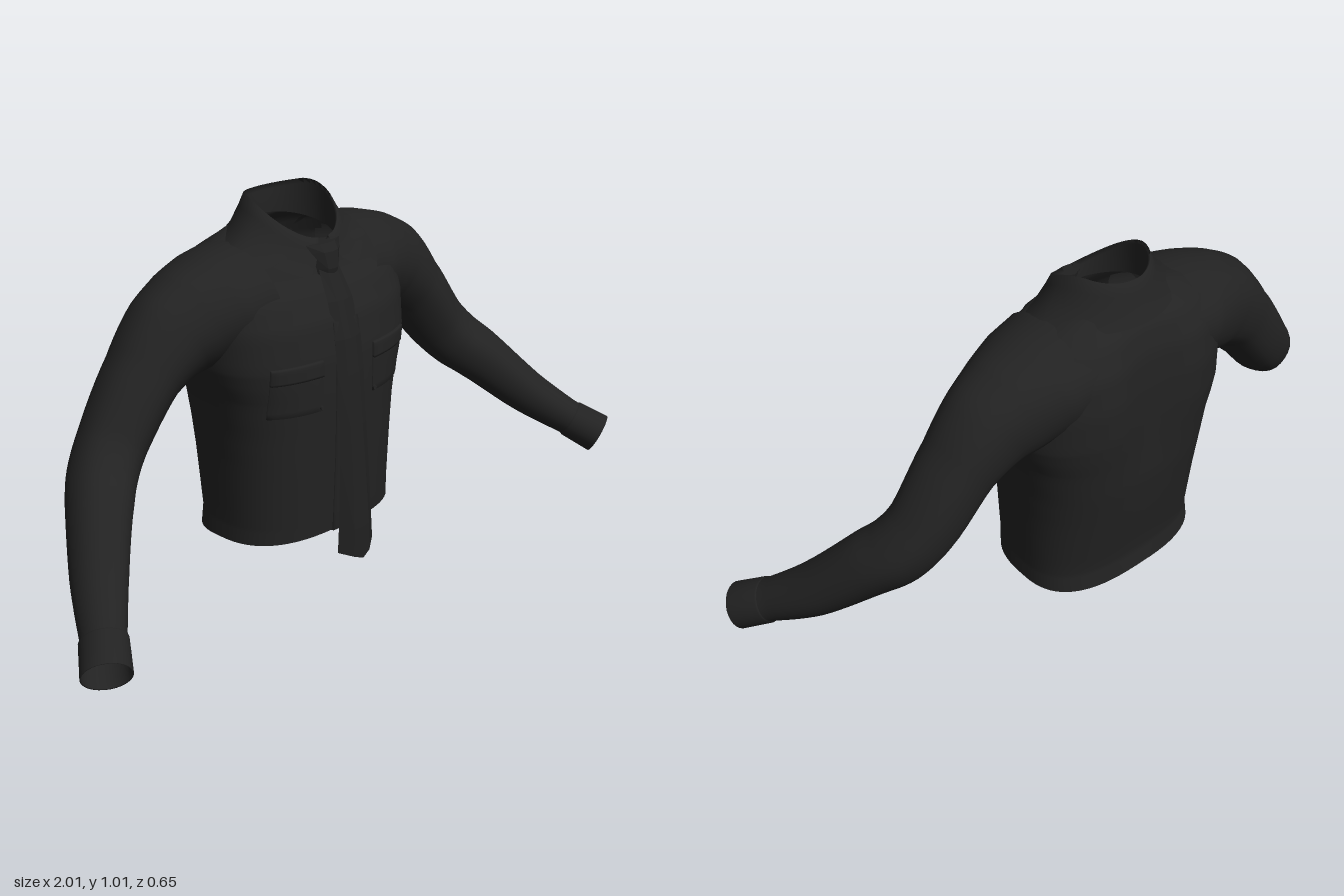
import * as THREE from 'three';

const mat = (name, color) => new THREE.MeshStandardMaterial({ name, color, side: THREE.DoubleSide });
const V = (x, y, z) => new THREE.Vector3(x, y, z);
const lerp = THREE.MathUtils.lerp;

// Interpolates a table whose first column is the key
function sample(table, t) {
  let i = 0;
  while (i < table.length - 2 && t > table[i + 1][0]) i++;
  const a = table[i], b = table[i + 1];
  const f = THREE.MathUtils.clamp((t - a[0]) / (b[0] - a[0]), 0, 1);
  return a.map((v, k) => lerp(v, b[k], f));
}

// Skins rows of points, leaving out quads whose corners are all hidden
function loft(name, rows, material, closed = true, hidden = () => false) {
  const n = rows[0].length, points = rows.flat(), index = [];
  const out = points.map(p => hidden(p));
  for (let i = 0; i < rows.length - 1; i++) {
    for (let j = 0; j < (closed ? n : n - 1); j++) {
      const a = i * n + j, b = i * n + (j + 1) % n;
      if (out[a] && out[b] && out[a + n] && out[b + n]) continue;
      index.push(a, b, a + n, b, b + n, a + n);
    }
  }
  const g = new THREE.BufferGeometry().setFromPoints(points);
  g.setIndex(index);
  g.computeVertexNormals();
  const mesh = new THREE.Mesh(g, material);
  mesh.name = name;
  return mesh;
}

// Torso levels: y, half width, front z, back z, forward tilt, spine groove
const TORSO = [
  [0.065, 0.283, 0.112, -0.28, 0.06, 0],
  [0.12, 0.279, 0.115, -0.272, 0.02, 0],
  [0.3, 0.284, 0.122, -0.302, 0, 0.006],
  [0.4, 0.291, 0.124, -0.318, 0, 0.014],
  [0.5, 0.306, 0.126, -0.328, 0, 0.026],
  [0.55, 0.322, 0.126, -0.333, 0, 0.032],
  [0.6, 0.334, 0.125, -0.337, 0, 0.037],
  [0.7, 0.335, 0.11, -0.337, 0, 0.04],
  [0.78, 0.33, 0.077, -0.322, -0.06, 0.035],
  [0.84, 0.295, 0.04, -0.288, -0.12, 0.022],
  [0.88, 0.235, 0.025, -0.24, -0.15, 0.008],
  [0.9, 0.18, 0.02, -0.225, -0.18, 0],
  [0.905, 0.13, 0.015, -0.22, -0.2, 0],
];
const MID = -0.1, POWER = 2.7;

function torsoRing(y, sides = 72) {
  const [, w, f, b, tilt, groove] = sample(TORSO, y);
  return Array.from({ length: sides }, (_, i) => {
    const a = i / sides * Math.PI * 2, s = Math.sin(a), c = Math.cos(a);
    const x = w * Math.sign(s) * Math.abs(s) ** (2 / POWER);
    const depth = Math.abs(c) ** (2 / POWER);
    let z = MID + (c > 0 ? f - MID : b - MID) * depth;
    if (c < 0) z += groove * Math.exp(-((x / 0.09) ** 2));
    return V(x, y + tilt * (z - MID), z);
  });
}

function insideTorso(p) {
  const y = p.y - sample(TORSO, p.y)[4] * (p.z - MID);
  const [, w, f, b] = sample(TORSO, y);
  const dz = (p.z - MID) / ((p.z > MID ? f : b) - MID);
  return y < 0.87 && Math.abs(p.x / w) ** POWER + dz ** POWER < 0.85;
}

// Raised cloth patch following the chest
function patch(name, x0, x1, y0, y1, lift, material) {
  const grid = [0, 0.001, ...Array.from({ length: 7 }, (_, i) => (i + 1) / 8), 0.999, 1];
  const rows = grid.map(v => grid.map(u => {
    const x = lerp(x0, x1, u), y = lerp(y0, y1, v);
    const [, w, f] = sample(TORSO, y);
    const z = MID + (f - MID) * (1 - (Math.abs(x) / w) ** POWER) ** (1 / POWER);
    const edge = u === 0 || u === 1 || v === 0 || v === 1;
    return V(x, y, z + (edge ? -0.003 : lift));
  }));
  return loft(name, rows, material, false);
}

// Sleeve stations: x, y, z, radius up, radius deep; the root blends into the shoulder
const SLEEVE = [
  [0.17, 0.768, -0.125, 0.137, 0.18],
  [0.26, 0.748, -0.128, 0.143, 0.168],
  [0.34, 0.722, -0.13, 0.143, 0.143],
  [0.41, 0.69, -0.13, 0.132, 0.122],
  [0.5, 0.612, -0.126, 0.102, 0.106],
  [0.615, 0.463, -0.112, 0.091, 0.095],
  [0.67, 0.4, -0.083, 0.088, 0.094],
  [0.72, 0.35, -0.033, 0.083, 0.089],
  [0.82, 0.23, 0.09, 0.067, 0.076],
  [0.895, 0.155, 0.2, 0.054, 0.06],
  [0.95, 0.106, 0.283, 0.058, 0.062],
];
const RADII = SLEEVE.map((s, i) => [i / (SLEEVE.length - 1), s[3], s[4]]);
const CURVE = new THREE.CatmullRomCurve3(SLEEVE.map(s => V(s[0], s[1], s[2])));

function sleeveFrame(t) {
  const c = CURVE.getPoint(t), T = CURVE.getTangent(t);
  const D = V(0, 0, 1).addScaledVector(T, -T.z).normalize();
  const [, ru, rd] = sample(RADII, t);
  return { c, T, D, U: D.clone().cross(T).normalize(), ru, rd };
}
const ROOT = Array.from({ length: 41 }, (_, i) => sleeveFrame(i / 100));

function insideSleeve(p) {
  return ROOT.some(({ c, T, D, U, ru, rd }) => {
    const q = V(Math.abs(p.x), p.y, p.z).sub(c);
    return Math.abs(q.dot(T)) < 0.01 && (q.dot(U) / ru) ** 2 + (q.dot(D) / rd) ** 2 < 0.8;
  });
}

function sleeveRing(t, side, grow = 0, sides = 28) {
  const { c, D, U, ru, rd } = sleeveFrame(t);
  return Array.from({ length: sides }, (_, i) => {
    const a = i / sides * Math.PI * 2;
    const fold = 1 + 0.02 * Math.sin(a * 5) * Math.sin(t * Math.PI);
    const p = c.clone().addScaledVector(U, (ru * fold + grow) * Math.cos(a))
      .addScaledVector(D, (rd * fold + grow) * Math.sin(a));
    p.x *= side;
    return p;
  });
}

// Folded collar: stand, fold line and outer leaf, open at the front
function collar(material) {
  const foldY = k => 1.007 - 0.1 * Math.max(0, (k - 0.33) / 0.67) ** 1.5 - 0.015 * Math.max(0, 1 - k * 4);
  const leafY = k => 0.9 - 0.09 * Math.max(0, k * 2 - 1) ** 1.5 - 0.015 * Math.max(0, 1 - k * 2);
  const rings = [
    { gap: 0.12, rx: 0.126, rf: 0.118, rb: 0.12, y: k => 0.915 - 0.055 * k },
    { gap: 0.13, rx: 0.121, rf: 0.12, rb: 0.12, y: k => foldY(k) - 0.012 },
    { gap: 0.14, rx: 0.123, rf: 0.128, rb: 0.13, y: foldY },
    { gap: 0.2, rx: 0.138, rf: 0.14, rb: 0.143, y: k => lerp(foldY(k), leafY(k), 0.3) },
    { gap: 0.3, rx: 0.168, rf: 0.157, rb: 0.16, y: k => lerp(foldY(k), leafY(k), 0.72) },
    { gap: 0.42, rx: 0.207, rf: 0.18, rb: 0.176, y: leafY },
  ];
  const rows = rings.map(r => Array.from({ length: 41 }, (_, i) => {
    const a = lerp(r.gap, Math.PI * 2 - r.gap, i / 40), c = Math.cos(a);
    return V(r.rx * Math.sin(a), r.y((1 + c) / 2), MID + (c > 0 ? r.rf : r.rb) * c);
  }));
  return loft('collar', rows.reverse(), material, false);
}

// Tie piece with a ridged front; rows: y, half width, front z, depth, centre drop
function tiePiece(name, rows, material) {
  const mesh = loft(name, rows.map(([y, w, z, d, drop = 0]) => [
    V(-w, y, z - d * 0.45), V(-w * 0.45, y - drop * 0.55, z - d * 0.08), V(0, y - drop, z),
    V(w * 0.45, y - drop * 0.55, z - d * 0.08), V(w, y, z - d * 0.45), V(0, y - drop * 0.3, z - d),
  ]), material);
  mesh.geometry = mesh.geometry.toNonIndexed();
  mesh.geometry.computeVertexNormals();
  return mesh;
}

export function createModel() {
  const cloth = mat('black cloth', 0x222222);
  const tieCloth = mat('tie black', 0x202020);
  const lining = mat('dark brown lining', 0x2a2118);
  const model = new THREE.Group();
  model.name = 'shirtWithTie';

  // Body, open at the hem, neck and armholes
  const levels = TORSO.slice(1).flatMap((r, i) => [0, 1, 2, 3].map(k => lerp(TORSO[i][0], r[0], k / 4)));
  model.add(loft('shirtBody', [...levels, 0.905].map(y => torsoRing(y)), cloth, true, insideSleeve));
  model.add(collar(cloth));
  model.add(patch('buttonPlacket', -0.045, 0.045, 0.075, 0.7, 0.004, cloth));

  // Sleeves, cuffs and chest pockets on both sides
  for (const side of [1, -1]) {
    const label = side > 0 ? 'left' : 'right';
    const arm = Array.from({ length: 61 }, (_, i) => sleeveRing(i / 60, side));
    model.add(loft(label + 'Sleeve', arm, cloth, true, insideTorso));
    const cuff = [[0.91, 0], [0.914, 0.003], [0.96, 0.003], [1, 0.003], [1, 0]]
      .map(([t, grow]) => sleeveRing(t, side, grow));
    model.add(loft(label + 'Cuff', cuff, cloth));

    const [x0, x1] = side > 0 ? [0.095, 0.245] : [-0.245, -0.095];
    model.add(patch(label + 'Pocket', x0, x1, 0.465, 0.6, 0.004, cloth));
    model.add(patch(label + 'PocketFlap', x0, x1, 0.565, 0.61, 0.008, cloth));
    const button = new THREE.Mesh(new THREE.CylinderGeometry(0.006, 0.006, 0.008, 10), cloth);
    button.rotation.x = Math.PI / 2;
    button.position.set(side * 0.1, 0.475, 0.126);
    button.name = label + 'PocketButton';
    model.add(button);
  }

  // Necktie: blade, narrow tail and knot
  model.add(tiePiece('tieBlade', [
    [0.03, 0, 0.15, 0.01],
    [0.03, 0.068, 0.19, 0.072, 0.029],
    [0.1, 0.064, 0.188, 0.07],
    [0.3, 0.054, 0.172, 0.048],
    [0.4, 0.05, 0.162, 0.038],
    [0.55, 0.049, 0.146, 0.028],
    [0.65, 0.048, 0.133, 0.026],
    [0.75, 0.045, 0.103, 0.028],
    [0.83, 0.036, 0.06, 0.03],
  ], tieCloth));
  model.add(tiePiece('tieTail', [
    [0.12, 0.03, 0.142, 0.016], [0.4, 0.032, 0.138, 0.016],
    [0.6, 0.03, 0.128, 0.016], [0.72, 0.028, 0.108, 0.016],
  ], lining));
  model.add(tiePiece('tieKnot', [
    [0.8, 0, 0.05, 0.02], [0.805, 0.034, 0.066, 0.05], [0.83, 0.04, 0.07, 0.06],
    [0.875, 0.055, 0.062, 0.065], [0.895, 0.062, 0.045, 0.05], [0.895, 0, 0.02, 0.01],
  ], tieCloth));
  return model;
}
